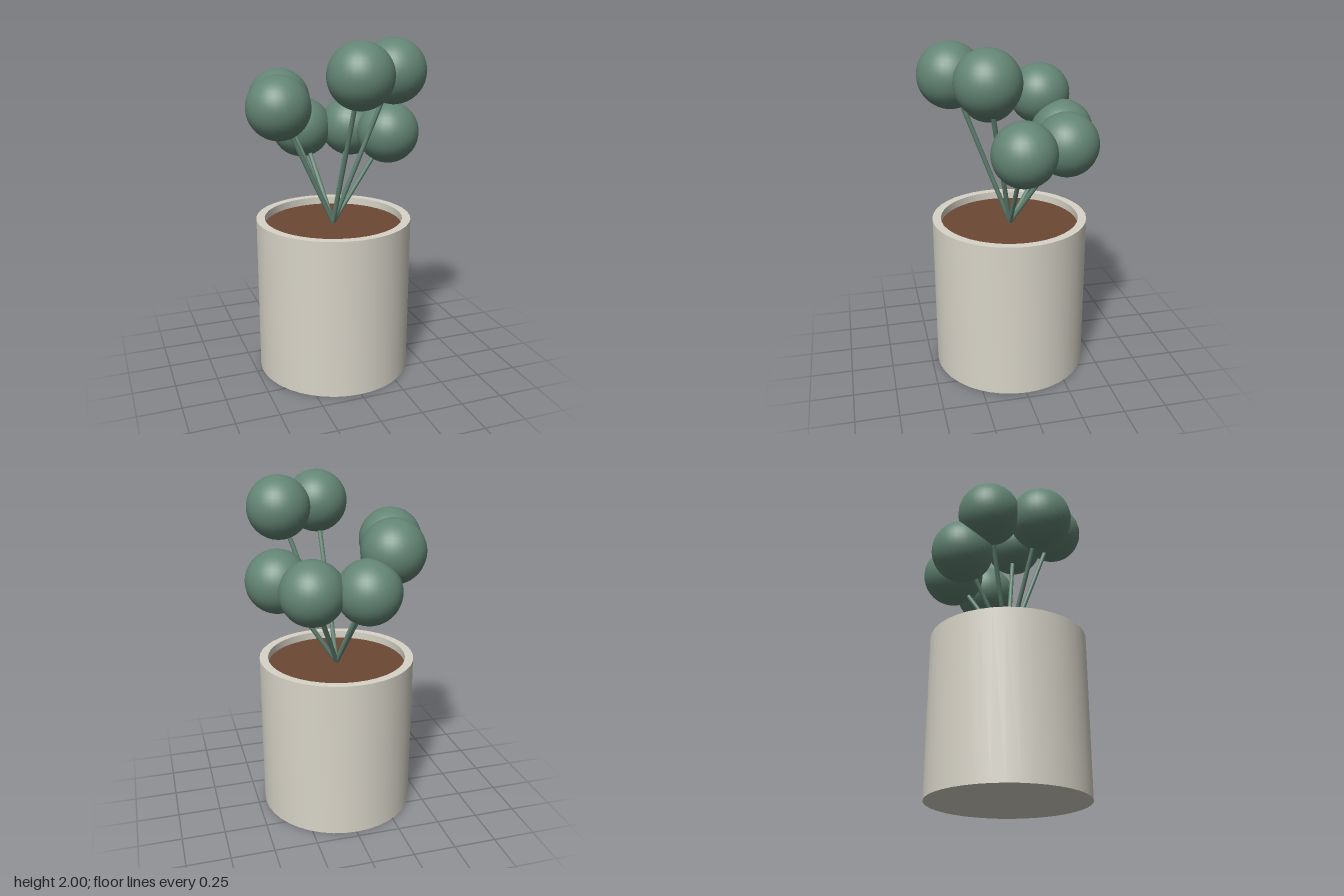
import * as THREE from 'three';
import { toCreasedNormals } from 'three/addons/utils/BufferGeometryUtils.js';

const potMat = new THREE.MeshStandardMaterial({ color: 0xd8d4c8 });
potMat.name = 'stoneware';
const soilMat = new THREE.MeshStandardMaterial({ color: 0x6b4834 });
soilMat.name = 'soil brown';
const leafMat = new THREE.MeshStandardMaterial({ color: 0x638575 });
leafMat.name = 'leaf green';

const CX = -0.005;       // pot axis
const POT_H = 0.95, POT_R = 0.46, INNER_R = 0.41, SOIL_Y = 0.905;
const BALL_R = 0.183, STEM_R = 0.0135;

function add(parent, name, geometry, material) {
  const mesh = new THREE.Mesh(geometry, material);
  mesh.name = name;
  parent.add(mesh);
  return mesh;
}

// Straight round stem between two points
function addStem(parent, from, to) {
  const dir = to.clone().sub(from);
  const stem = add(parent, 'stem', new THREE.CylinderGeometry(STEM_R, STEM_R, dir.length(), 12), leafMat);
  stem.position.copy(from).addScaledVector(dir, 0.5);
  stem.quaternion.setFromUnitVectors(new THREE.Vector3(0, 1, 0), dir.normalize());
}

export function createModel() {
  const model = new THREE.Group();
  model.name = 'pottedPlant';

  // Pot: closed base, outer wall, flat rim and inner wall
  const profile = [
    [0, 0], [POT_R, 0], [POT_R, POT_H], [INNER_R, POT_H], [INNER_R, SOIL_Y - 0.05],
  ].map(([r, y]) => new THREE.Vector2(r, y));
  const pot = add(model, 'pot', toCreasedNormals(new THREE.LatheGeometry(profile, 40), 0.6), potMat);
  pot.position.x = CX;

  // Soil disc just below the rim
  const soil = add(model, 'soil', new THREE.CylinderGeometry(INNER_R, INNER_R, 0.04, 40), soilMat);
  soil.position.set(CX, SOIL_Y - 0.02, 0);

  // Seven stems fanning out from one point, each ending in a round leaf ball
  const base = new THREE.Vector3(CX, 0.91, -0.004);
  const balls = [
    [0.342, 1.437, -0.004], [0.288, 1.817, 0.18], [0.026, 1.817, 0.338],
    [-0.345, 1.627, 0.052], [-0.259, 1.627, -0.243], [-0.092, 1.437, -0.341],
    [0.208, 1.437, -0.281],
  ];
  for (const p of balls) {
    const branch = new THREE.Group();
    branch.name = 'branch';
    const tip = new THREE.Vector3(...p);
    addStem(branch, base, tip);
    add(branch, 'leafBall', new THREE.SphereGeometry(BALL_R, 32, 20), leafMat).position.copy(tip);
    model.add(branch);
  }
  return model;
}
